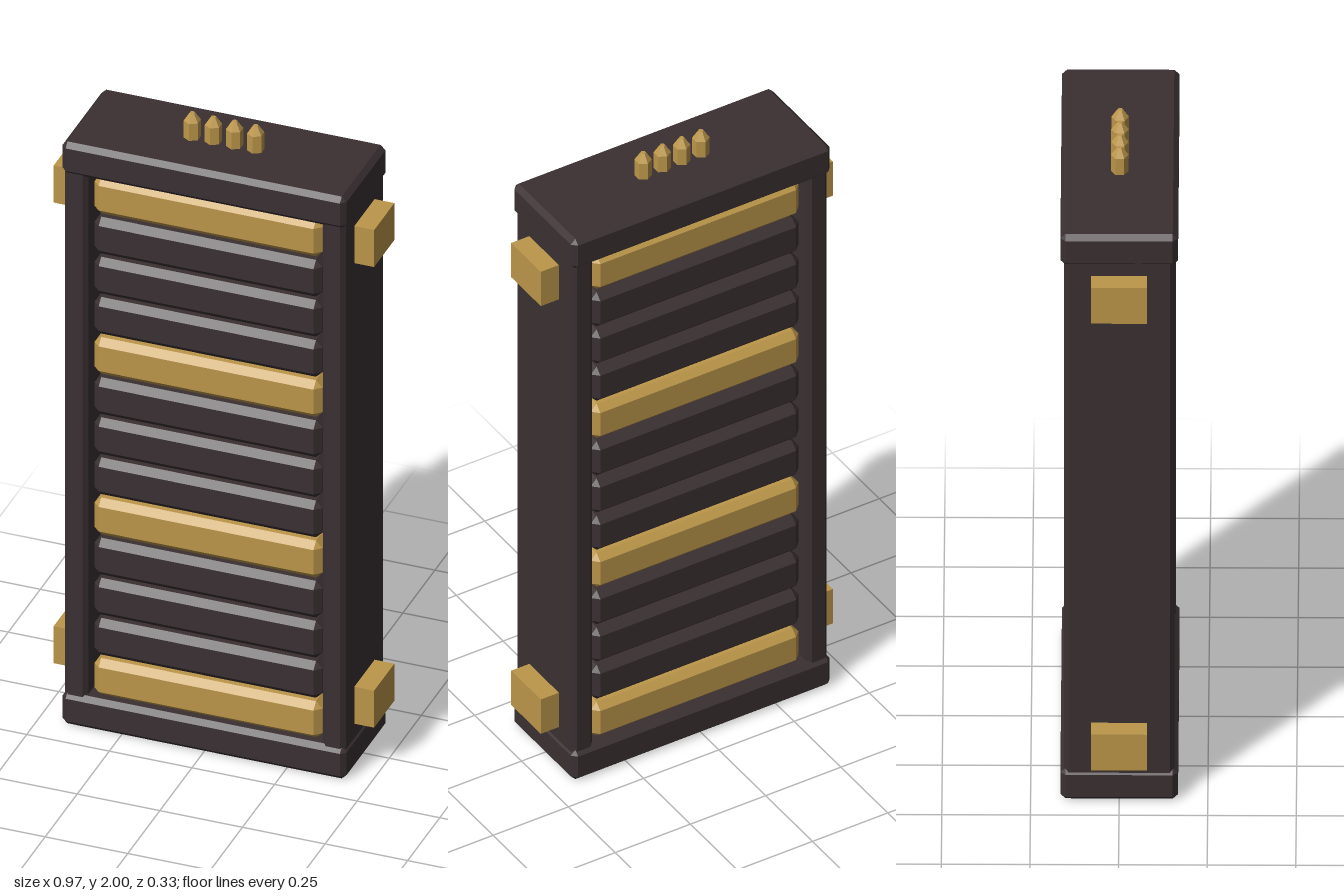
import * as THREE from 'three';
import { ConvexGeometry } from 'three/addons/geometries/ConvexGeometry.js';

const dark = new THREE.MeshStandardMaterial({ color: 0x3a3032, flatShading: true });
dark.name = 'dark iron';
const gold = new THREE.MeshStandardMaterial({ color: 0xbd974a, flatShading: true });
gold.name = 'brass';

// Box with every edge cut at 45 degrees
function chamferBox(w, h, d, c) {
  const points = [];
  for (const sx of [-1, 1]) for (const sy of [-1, 1]) for (const sz of [-1, 1]) {
    for (let axis = 0; axis < 3; axis++) {
      const [x, y, z] = [w, h, d].map((size, i) => size / 2 - (i === axis ? 0 : c));
      points.push(new THREE.Vector3(sx * x, sy * y, sz * z));
    }
  }
  return new THREE.BufferGeometry().copy(new ConvexGeometry(points));
}

export function createModel() {
  const model = new THREE.Group();
  model.name = 'slattedPanel';

  const add = (name, geometry, material, x, y, z = 0) => {
    const mesh = new THREE.Mesh(geometry, material);
    mesh.name = name;
    mesh.position.set(x, y, z);
    model.add(mesh);
  };

  // Top and bottom rails
  const rail = chamferBox(0.86, 0.104, 0.332, 0.015);
  add('bottomRail', rail, dark, 0, 0.052);
  add('topRail', rail, dark, 0, 1.868);

  // Side posts and their brass brackets
  const post = chamferBox(0.07, 1.8, 0.312, 0.013);
  const bracket = new THREE.BoxGeometry(0.08, 0.122, 0.158);
  for (const [side, s] of [['left', 1], ['right', -1]]) {
    add(side + 'Post', post, dark, s * 0.39, 0.96);
    add(side + 'LowerBracket', bracket, gold, s * 0.445, 0.203);
    add(side + 'UpperBracket', bracket, gold, s * 0.445, 1.723);
  }

  // Slats, every fourth one brass
  const slat = chamferBox(0.69, 0.121, 0.28, 0.02);
  for (let i = 0; i < 13; i++) {
    add('slat' + (i + 1), slat, i % 4 === 0 ? gold : dark, 0, 0.157 + i * 0.1324);
  }

  // Row of pointed six-sided pins on top
  const profile = [[0.025, 0], [0.025, 0.06], [0.008, 0.085], [0, 0.085]]
    .map(([r, y]) => new THREE.Vector2(r, y));
  const pin = new THREE.LatheGeometry(profile, 6);
  for (let i = 0; i < 4; i++) {
    add('pin' + (i + 1), pin, gold, (i - 1.5) * 0.064, 1.915);
  }

  return model;
}
